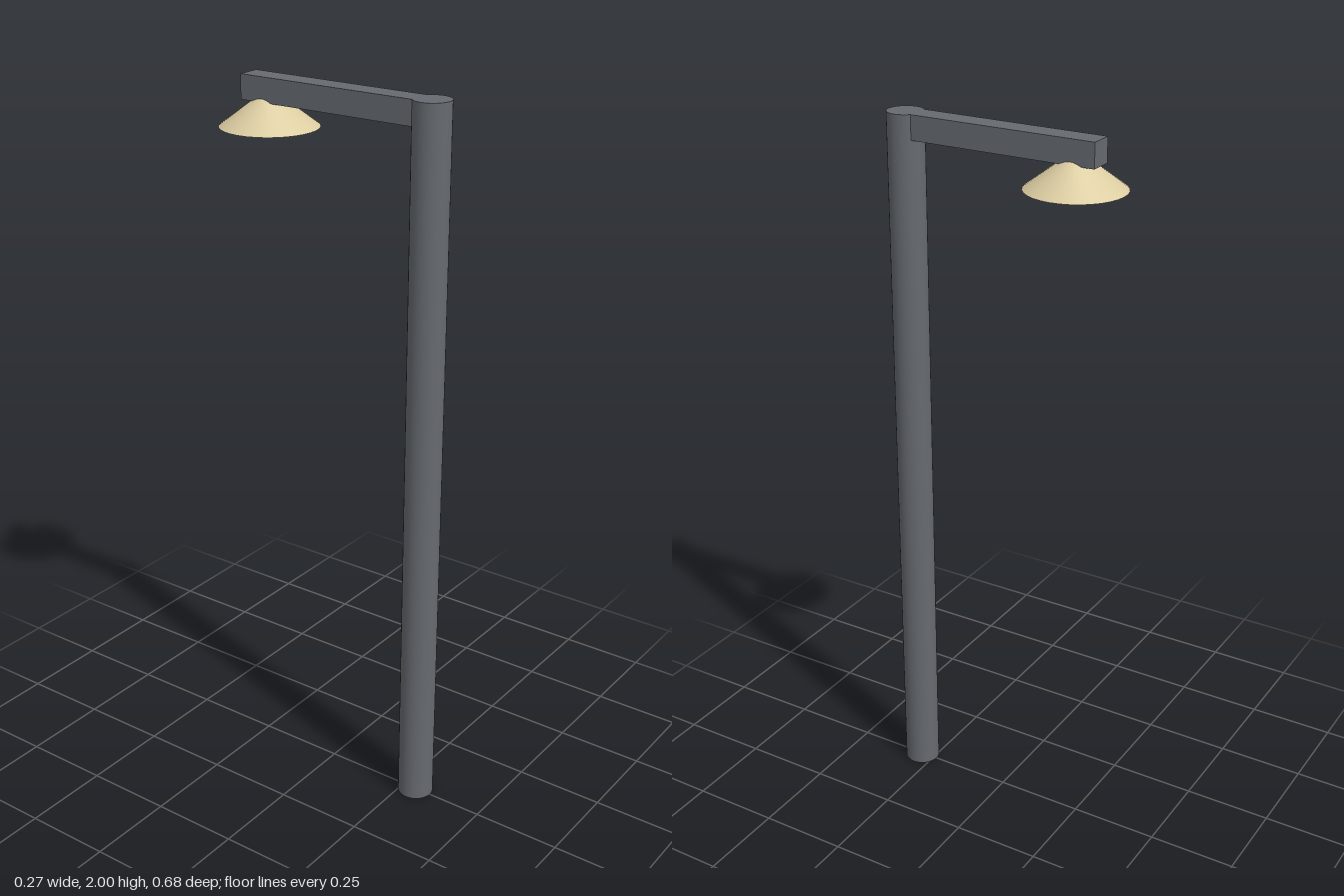
import * as THREE from 'three';

export function createModel() {
  const model = new THREE.Group();
  const metal = new THREE.MeshStandardMaterial({ color: 0x666a70 });
  metal.name = 'grey metal';
  const cream = new THREE.MeshStandardMaterial({ color: 0xdccda2 });
  cream.name = 'cream shade';

  const add = (name, geometry, material, x, y, z) => {
    const mesh = new THREE.Mesh(geometry, material);
    mesh.name = name;
    mesh.position.set(x, y, z);
    model.add(mesh);
  };

  // Upright pole at the front
  add('pole', new THREE.CylinderGeometry(0.05, 0.05, 2, 32), metal, 0, 1, 0.29);

  // Square arm reaching back from the pole top
  const armBack = -0.275, armFront = 0.29;
  add('arm', new THREE.BoxGeometry(0.066, 0.066, armFront - armBack), metal,
    0, 1.967, (armFront + armBack) / 2);

  // Closed conical shade, its tip sunk into the arm
  add('lampShade', new THREE.ConeGeometry(0.133, 0.1, 32), cream, 0, 1.918, -0.208);

  return model;
}
